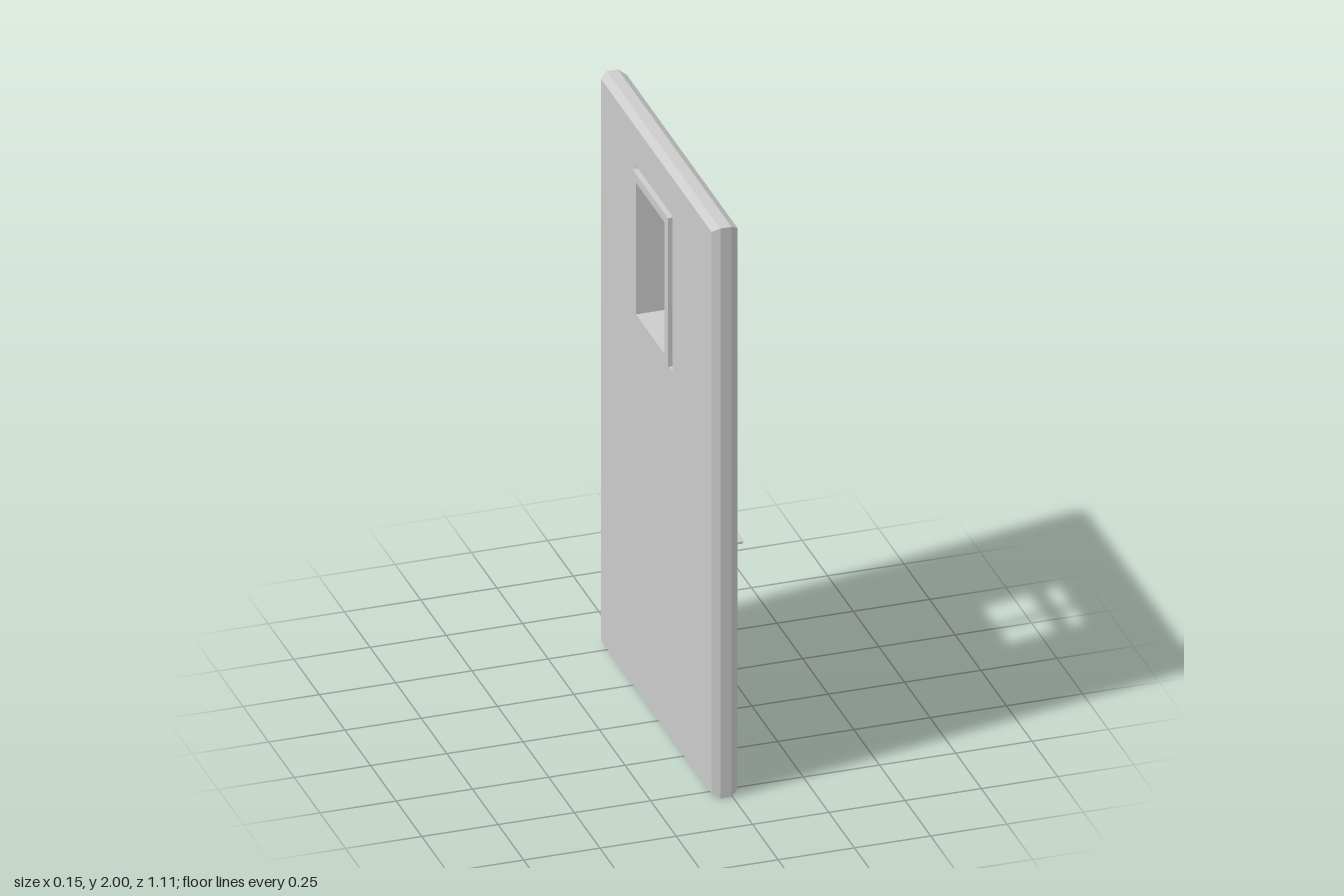
import * as THREE from 'three';

const material = new THREE.MeshStandardMaterial({ color: 0xcccccc, flatShading: true });

// Rectangle outline; u runs along -z once the panel is turned to face +x.
function rect(Type, u0, u1, y0, y1) {
  const p = new Type();
  p.moveTo(u0, y0);
  p.lineTo(u1, y0);
  p.lineTo(u1, y1);
  p.lineTo(u0, y1);
  p.closePath();
  return p;
}

// Panel from x0 to x1, with chamfered rims and an optional hole.
function panel(name, [u0, u1, y0, y1], x0, x1, { size = 0, depth = size, hole } = {}) {
  const shape = rect(THREE.Shape, u0, u1, y0, y1);
  if (hole) shape.holes.push(rect(THREE.Path, ...hole));
  const geometry = new THREE.ExtrudeGeometry(shape, {
    depth: x1 - x0 - 2 * depth,
    bevelEnabled: size > 0,
    bevelSize: size,
    bevelThickness: depth,
    bevelOffset: -size,
    bevelSegments: 1,
  });
  geometry.translate(0, 0, x0 + depth);
  geometry.rotateY(Math.PI / 2);
  const mesh = new THREE.Mesh(geometry, material);
  mesh.name = name;
  return mesh;
}

export function createModel() {
  const group = new THREE.Group();
  group.name = 'door';

  // Door leaf with chamfered edges; the window frame lines its opening
  group.add(panel('doorLeaf', [-0.555, 0.555, 0, 2], -0.064, 0.021, {
    size: 0.015, depth: 0.024, hole: [-0.146, 0.191, 1.324, 1.836],
  }));

  // Window frame passing through the leaf
  group.add(panel('windowFrame', [-0.152, 0.194, 1.32, 1.842], -0.077, 0.032, {
    hole: [-0.122, 0.159, 1.35, 1.812],
  }));

  // Crossed window bars
  const bevel = { size: 0.006 };
  group.add(panel('verticalBar', [0.007, 0.033, 1.316, 1.858], 0.021, 0.062, bevel));
  group.add(panel('horizontalBar', [-0.156, 0.2, 1.562, 1.588], 0.021, 0.062, bevel));

  // Handle plate
  group.add(panel('handlePlate', [-0.48, -0.418, 0.795, 0.985], 0.021, 0.028, { size: 0.002 }));

  // Bent, tapered lever: outline in x and z, extruded upwards
  const outline = [
    [0.024, 0.453], [0.069, 0.453], [0.076, 0.347], [0.068, 0.347], [0.054, 0.439], [0.024, 0.439],
  ];
  const leverShape = new THREE.Shape(outline.map(([x, z]) => new THREE.Vector2(x, -z)));
  const leverGeometry = new THREE.ExtrudeGeometry(leverShape, {
    depth: 0.006, bevelEnabled: true, bevelSize: 0.002, bevelThickness: 0.002,
    bevelOffset: -0.002, bevelSegments: 1,
  });
  leverGeometry.rotateX(-Math.PI / 2);
  const lever = new THREE.Mesh(leverGeometry, material);
  lever.name = 'handleLever';
  lever.position.y = 0.827;
  group.add(lever);

  return group;
}
